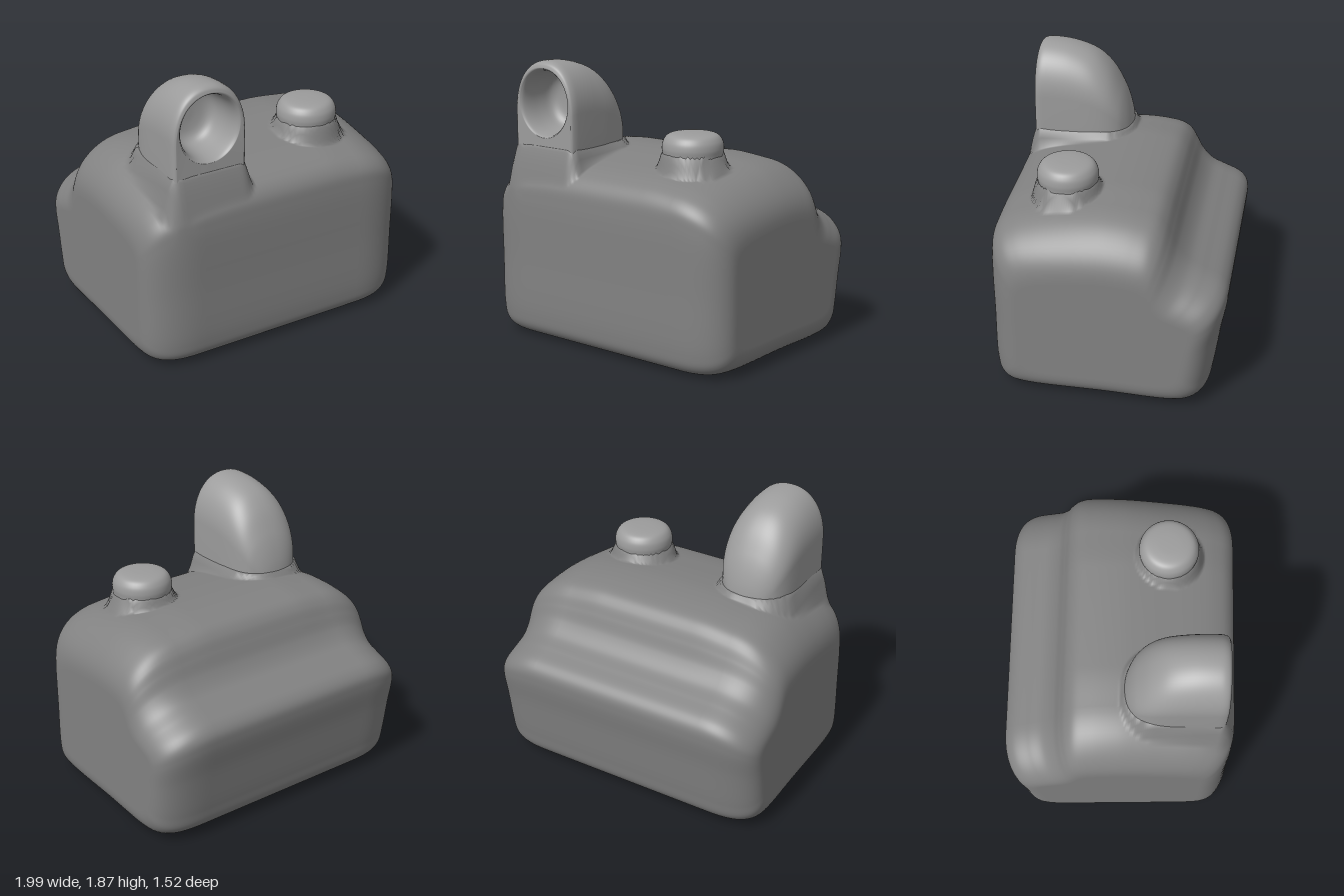
import * as THREE from 'three';

const { smoothstep } = THREE.MathUtils;
const darkGrey = new THREE.MeshStandardMaterial({ color: 0x828282 });
const midGrey = new THREE.MeshStandardMaterial({ color: 0x9c9c9c });

// Centres of the parts standing on the body
const HOOD_X = -0.5, BUTTON_X = 0.437, BUTTON_Z = 0.31;

// Skin a list of equally long closed rings of [x, y, z] points, smooth all over
function loft(name, rings, material) {
  const n = rings[0].length, index = [];
  for (let i = 0; i < rings.length - 1; i++) {
    for (let j = 0; j < n; j++) {
      const k = (j + 1) % n;
      const a = i * n + j, b = i * n + k, c = a + n, d = b + n;
      index.push(a, b, d, a, d, c);
    }
  }
  const geo = new THREE.BufferGeometry();
  geo.setAttribute('position', new THREE.Float32BufferAttribute(rings.flat(2), 3));
  geo.setIndex(index);
  geo.computeVertexNormals();
  const mesh = new THREE.Mesh(geo, material);
  mesh.name = name;
  return mesh;
}

// One ring, from a function of the angle
const ring = (n, f) => Array.from({ length: n }, (_, i) => f((i / n) * Math.PI * 2));
const power = (v, e) => Math.sign(v) * Math.abs(v) ** e;
const smooth = (rows, n, closed = false) => new THREE.CatmullRomCurve3(
  rows.map(r => new THREE.Vector3(...r)), closed).getPoints(n);

// Distance outside the hood's footprint: nearly square in front, round behind
function hoodDistance(x, z) {
  const r = z < 0.355 ? 0.2 : 0.04;
  const dx = Math.abs(x - HOOD_X) - 0.255 + r, dz = Math.abs(z - 0.355) - 0.325 + r;
  return Math.max(0, Math.hypot(Math.max(dx, 0), Math.max(dz, 0)) - r);
}
const buttonDistance = (x, z) => Math.max(0, Math.hypot(x - BUTTON_X, z - BUTTON_Z) - 0.195);

// Raise the top of the body into a flared foot, blending softly
function raise(y, top, d) {
  const target = top - 2.5 * d - 25 * d * d, k = 0.03;
  const h = Math.max(k - Math.abs(y - target), 0) / k;
  const raised = Math.max(y, target) + h * h * k * 0.25;
  return y + (raised - y) * smoothstep(y, 0.85, 1.0);
}

// Body: side profile [z, y] swept across x, shrinking into rounded ends
function makeBody() {
  const profile = smooth([
    [0, 1.27], [0.15, 1.26], [0.3, 1.24], [0.5, 1.205], [0.62, 1.17], [0.7, 1.125],
    [0.745, 1.06], [0.76, 0.95], [0.76, 0.55], [0.757, 0.16], [0.74, 0.07], [0.7, 0.025],
    [0.6, 0], [0, 0], [-0.5, 0.002], [-0.6, 0.03], [-0.66, 0.09], [-0.685, 0.2],
    [-0.725, 0.48], [-0.757, 0.68], [-0.752, 0.76], [-0.71, 0.815], [-0.6, 0.87],
    [-0.5, 0.92], [-0.43, 1.0], [-0.385, 1.1], [-0.345, 1.18], [-0.29, 1.23], [-0.18, 1.258],
  ].map(([z, y]) => [0, y, z]), 320, true).slice(0, -1);

  const section = (side, t, shrink, reach = 1) => profile.map(p => {
    const inset = 1 - Math.cos(t);
    const bottom = 0.15 * inset ** 1.8, top = 0.38 * inset;
    let y = bottom + p.y * (1.27 - bottom - top) / 1.27;
    let z = p.z * (1 - 0.27 * inset ** 1.15);
    y = 0.55 + (y - 0.55) * shrink;
    z *= shrink;
    // The sides taper slightly towards the front
    const halfWidth = 0.978 - 0.03 * z;
    const x = side * reach * (halfWidth - 0.36 * (1 - Math.sin(t)));
    // The top falls a little towards the ends
    y -= 0.03 * smoothstep(Math.abs(x), 0.35, 0.75) * smoothstep(y, 0.9, 1.2);
    y = raise(y, 1.3, hoodDistance(x, z));
    y = raise(y, 1.325, buttonDistance(x, z));
    return [x, y, z];
  });

  const half = side => {
    const rings = [];
    for (let i = 0; i < 28; i++) rings.push(section(side, 0, 1, (i + 0.5) / 28));
    for (let i = 0; i <= 18; i++) rings.push(section(side, (i / 18) * Math.PI / 2, 1));
    for (const s of [0.97, 0.7, 0.35, 0]) rings.push(section(side, Math.PI / 2, s));
    return rings;
  };
  return loft('body', [...half(-1).reverse(), ...half(1)], darkGrey);
}

// Hood: arches growing from the back to the rim, then a bowl going back inside
function makeHood() {
  const arches = smooth([
    [0.03, 0, 1.22], [0.036, 0.06, 1.3], [0.05, 0.11, 1.38], [0.08, 0.16, 1.48],
    [0.12, 0.2, 1.57], [0.2, 0.235, 1.7], [0.3, 0.25, 1.79], [0.45, 0.255, 1.845],
    [0.6, 0.256, 1.86], [0.645, 0.254, 1.855], [0.67, 0.247, 1.84], [0.681, 0.235, 1.815],
  ], 60);
  const bottom = 1.05;
  const rings = arches.map(({ x: z, y: w, z: h }) => ring(72, a => {
    const c = Math.cos(a), s = Math.sin(a);
    const spring = bottom + (h - bottom) * 0.6;
    return s >= 0
      ? [w * power(c, 0.9), spring + (h - spring) * power(s, 0.95), z]
      : [w * power(c, 0.12), spring + (spring - bottom) * power(s, 0.6), z];
  }));
  // Opening: z, half width, half height
  const bowl = smooth([
    [0.679, 0.213, 0.228], [0.662, 0.199, 0.218], [0.62, 0.188, 0.21], [0.52, 0.176, 0.2],
    [0.45, 0.16, 0.185], [0.415, 0.125, 0.15], [0.4, 0.06, 0.08], [0.398, 0, 0],
  ], 28);
  for (const { x: z, y: w, z: h } of bowl) {
    rings.push(ring(72, a => [w * Math.cos(a), 1.583 + h * Math.sin(a), z]));
  }
  const mesh = loft('hood', rings, midGrey);
  mesh.position.x = HOOD_X;
  return mesh;
}

// Button: rounded cap standing on its flared foot
function makeButton() {
  const points = new THREE.SplineCurve([
    [0.19, 1.25], [0.193, 1.31], [0.197, 1.355], [0.187, 1.4], [0.155, 1.436],
    [0.09, 1.449], [0, 1.452],
  ].map(p => new THREE.Vector2(...p))).getPoints(40);
  points.forEach(p => { p.x = Math.max(p.x, 0); });
  const mesh = new THREE.Mesh(new THREE.LatheGeometry(points, 48), midGrey);
  mesh.name = 'button';
  mesh.position.set(BUTTON_X, 0, BUTTON_Z);
  return mesh;
}

export function createModel() {
  const group = new THREE.Group();
  group.name = 'model';
  group.add(makeBody(), makeHood(), makeButton());
  return group;
}
